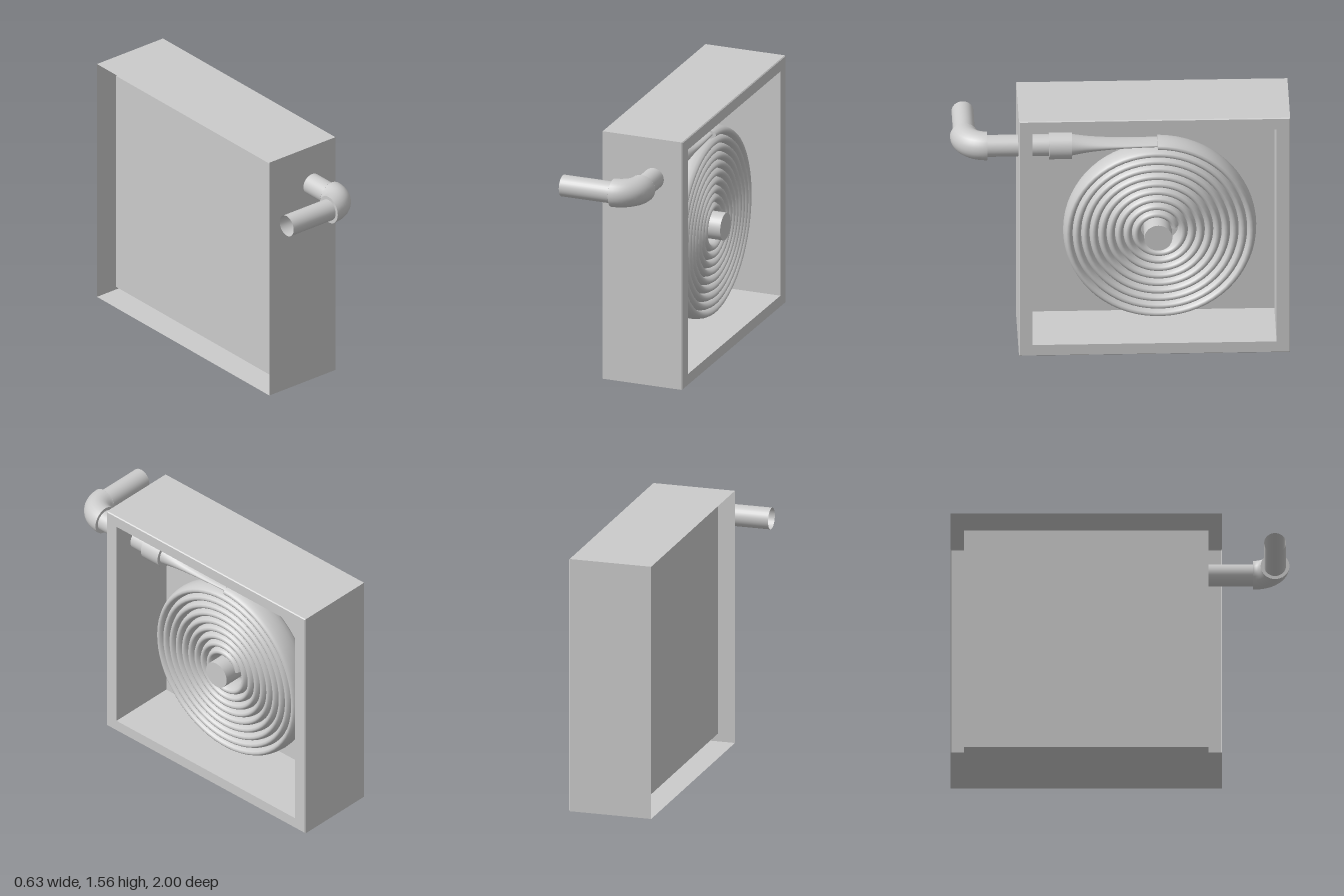
import * as THREE from 'three';
import { ParametricGeometry } from 'three/addons/geometries/ParametricGeometry.js';

const grey = new THREE.MeshStandardMaterial({ color: 0xcccccc, side: THREE.DoubleSide });
const PIPE_X = 0.13, PIPE_Y = 1.305, PIPE_Z = 0.915, PIPE_R = 0.065, FIT_R = 0.085;
const HUB_Y = 0.737, HUB_Z = -0.222;
const COIL = { x: 0.11, turns: 9.2, outer: 0.565, pitch: 0.05, a: 0.08, b: 0.03 };

function add(group, name, geometry) {
  const mesh = new THREE.Mesh(geometry, grey);
  mesh.name = name;
  group.add(mesh);
  return mesh;
}

// Casing: one skin from the open back, over the front rim, into the recessed tray
function casingGeometry() {
  // x of the loop, inset in z, inset in y
  const loops = [
    [-0.195, 0, 0], [0.309, 0, 0], [0.315, 0.005, 0.005],
    [0.315, 0.08, 0.073], [-0.115, 0.08, 0.073],
  ].map(([x, iz, iy]) => {
    const z0 = -0.998 + iz, z1 = 0.602 - iz, y0 = iy, y1 = 1.556 - iy;
    return [[x, y0, z1], [x, y0, z0], [x, y1, z0], [x, y1, z1]];
  });
  const points = [];
  const quad = (a, b, c, d) => points.push(...a, ...b, ...c, ...a, ...c, ...d);
  for (let i = 0; i < loops.length - 1; i++) {
    for (let j = 0; j < 4; j++) {
      const k = (j + 1) % 4;
      quad(loops[i][j], loops[i][k], loops[i + 1][k], loops[i + 1][j]);
    }
  }
  quad(...loops[loops.length - 1]);
  const geometry = new THREE.BufferGeometry();
  geometry.setAttribute('position', new THREE.Float32BufferAttribute(points, 3));
  geometry.computeVertexNormals();
  return geometry;
}

// Flattened tube wound inward as a flat spiral
function coilGeometry() {
  const { x, turns, outer, pitch, a, b } = COIL;
  return new ParametricGeometry((u, v, p) => {
    const phi = u * Math.PI * 2, theta = v * turns * Math.PI * 2;
    const r = outer - pitch * v * turns + b * Math.sin(phi);
    p.set(x - a * Math.cos(phi), HUB_Y + r * Math.cos(theta), HUB_Z - r * Math.sin(theta));
  }, 16, 600);
}

// Transition from the round pipe to the flattened tube
function taperGeometry() {
  return new ParametricGeometry((u, v, p) => {
    const phi = u * Math.PI * 2;
    const a = PIPE_R - 0.005 * v;
    const b = 0.017 + (PIPE_R - 0.017) * Math.pow(1 - v, 2.5);
    const x = PIPE_X + (COIL.x - PIPE_X) * v;
    p.set(x - a * Math.cos(phi), PIPE_Y + b * Math.sin(phi), 0.29 - 0.51 * v);
  }, 24, 20);
}

// Straight round piece along x or z, between two positions on that axis
function rod(group, name, axis, from, to, radius, open) {
  const mesh = add(group, name, new THREE.CylinderGeometry(radius, radius, to - from, 32, 1, open));
  const mid = (from + to) / 2;
  if (axis === 'x') {
    mesh.rotation.z = -Math.PI / 2;
    mesh.position.x = mid;
  } else {
    mesh.rotation.x = Math.PI / 2;
    mesh.position.z = mid;
  }
  return mesh;
}

export function createModel() {
  const model = new THREE.Group();
  model.name = 'coilUnit';

  add(model, 'casing', casingGeometry());

  // Coil and central hub
  const coil = new THREE.Group();
  coil.name = 'coil';
  model.add(coil);
  add(coil, 'spiralTube', coilGeometry());
  const cap = add(coil, 'spiralEnd', new THREE.CircleGeometry(1, 24));
  cap.scale.set(COIL.a, COIL.b, 1);
  cap.position.set(COIL.x, HUB_Y + COIL.outer, HUB_Z);
  const hub = rod(coil, 'hub', 'x', -0.115, 0.25, 0.083, false);
  hub.position.y = HUB_Y;
  hub.position.z = HUB_Z;

  // Supply pipe with collar, elbow and open outlet
  const piping = new THREE.Group();
  piping.name = 'piping';
  model.add(piping);
  add(piping, 'taper', taperGeometry());

  const feed = rod(piping, 'feedPipe', 'z', 0.285, 0.79, PIPE_R, true);
  feed.position.x = PIPE_X;
  feed.position.y = PIPE_Y;
  const collar = rod(piping, 'collar', 'z', 0.285, 0.42, FIT_R, false);
  collar.position.x = PIPE_X;
  collar.position.y = PIPE_Y;
  const outlet = rod(piping, 'outletPipe', 'x', -0.32, 0.01, PIPE_R, true);
  outlet.position.y = PIPE_Y;
  outlet.position.z = PIPE_Z;

  // Elbow: quarter torus laid flat, its ends closed around the pipes
  const bend = PIPE_X;
  const elbow = add(piping, 'elbow', new THREE.TorusGeometry(bend, FIT_R, 24, 12, Math.PI / 2));
  elbow.rotation.x = Math.PI / 2;
  elbow.position.set(0, PIPE_Y, PIPE_Z - bend);
  const lipGeometry = new THREE.RingGeometry(PIPE_R, FIT_R, 32);
  const backLip = add(piping, 'elbowBackLip', lipGeometry);
  backLip.rotation.y = Math.PI;
  backLip.position.set(PIPE_X, PIPE_Y, PIPE_Z - bend);
  const sideLip = add(piping, 'elbowSideLip', lipGeometry);
  sideLip.rotation.y = -Math.PI / 2;
  sideLip.position.set(0, PIPE_Y, PIPE_Z);

  return model;
}
